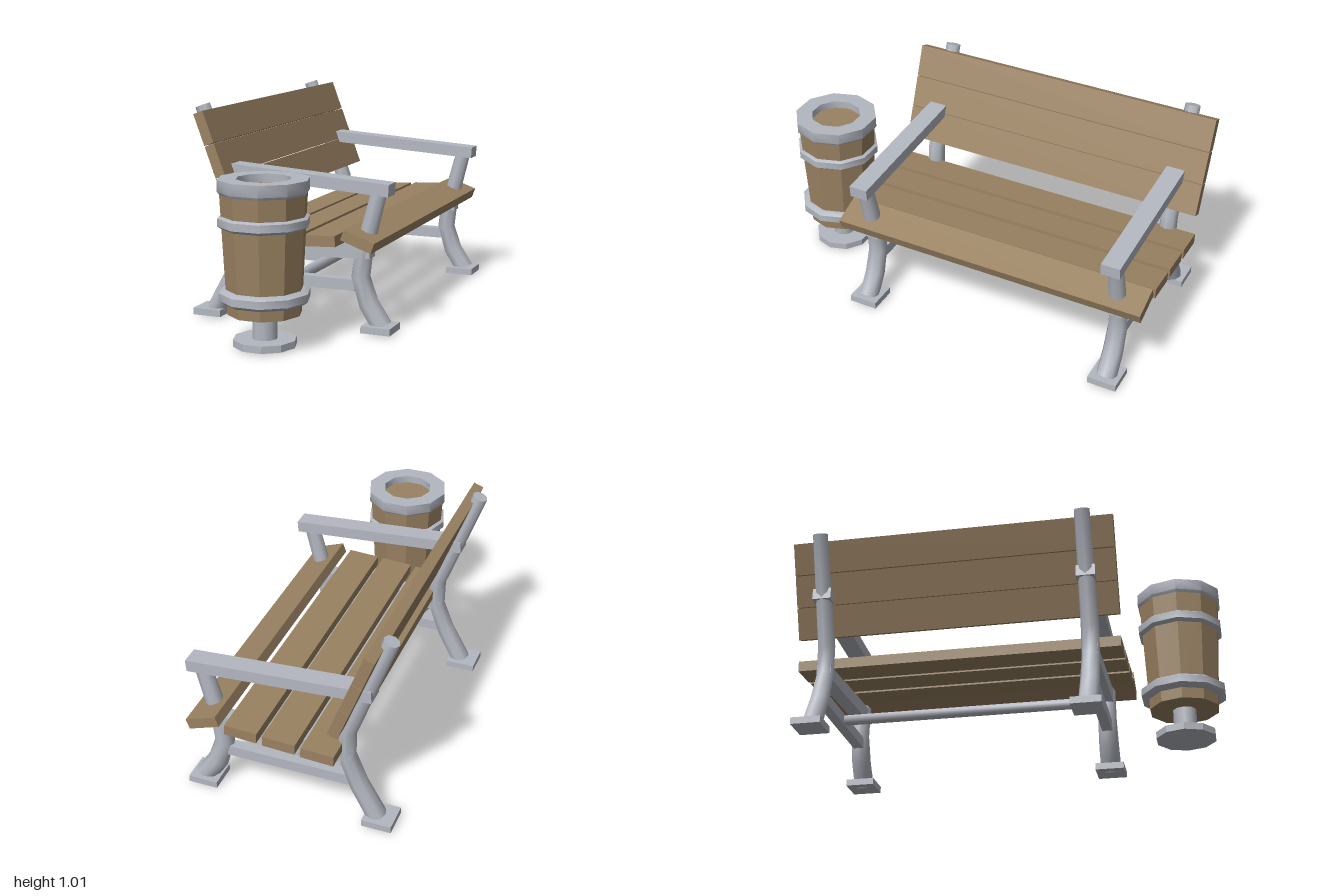
import * as THREE from 'three';
import { toCreasedNormals } from 'three/addons/utils/BufferGeometryUtils.js';

const metal = new THREE.MeshStandardMaterial({ color: 0xb3b7c0 });
metal.name = 'grey metal';
const wood = new THREE.MeshStandardMaterial({ color: 0x9a8262 });
wood.name = 'brown wood';

function add(parent, name, geometry, material, x = 0, y = 0, z = 0, tilt = 0) {
  const mesh = new THREE.Mesh(geometry, material);
  mesh.name = name;
  mesh.position.set(x, y, z);
  mesh.rotation.z = tilt;
  parent.add(mesh);
  return mesh;
}

// Capped round bar along [x, y, radius] stations in the xy plane
function bentBar(stations, sides = 8) {
  const positions = [], index = [], n = stations.length;
  stations.forEach(([x, y, r], i) => {
    const a = stations[Math.max(i - 1, 0)], b = stations[Math.min(i + 1, n - 1)];
    const side = new THREE.Vector2(b[1] - a[1], a[0] - b[0]).normalize();
    for (let k = 0; k < sides; k++) {
      const t = (k / sides) * Math.PI * 2;
      const c = Math.cos(t) * r;
      positions.push(x + side.x * c, y + side.y * c, -Math.sin(t) * r);
    }
  });
  for (let i = 0; i < n - 1; i++) {
    for (let k = 0; k < sides; k++) {
      const a = i * sides + k, b = i * sides + (k + 1) % sides;
      index.push(a, b, b + sides, a, b + sides, a + sides);
    }
  }
  const top = (n - 1) * sides;
  for (let k = 1; k < sides - 1; k++) {
    index.push(0, k + 1, k, top, top + k, top + k + 1);
  }
  const g = new THREE.BufferGeometry();
  g.setAttribute('position', new THREE.Float32BufferAttribute(positions, 3));
  g.setIndex(index);
  return toCreasedNormals(g, 0.9);
}

// Ten-sided ring from an [r, y] profile, corners on the x axis
function ring(profile) {
  const points = profile.map(([r, y]) => new THREE.Vector2(r, y));
  return toCreasedNormals(new THREE.LatheGeometry(points, 10, Math.PI / 2), 0.85);
}

function drum(top, bottom, height, sides = 10) {
  return new THREE.CylinderGeometry(top, bottom, height, sides, 1, false, Math.PI / 2);
}

// One end frame: two bent legs, feet, armrest and rails
function makeFrame(z) {
  const frame = new THREE.Group();
  frame.name = 'endFrame';
  frame.position.z = z;
  add(frame, 'backLeg', bentBar([
    [-0.405, 0.02, 0.048], [-0.32, 0.18, 0.045], [-0.264, 0.33, 0.043],
    [-0.268, 0.48, 0.043], [-0.462, 0.989, 0.037],
  ]), metal);
  add(frame, 'frontLeg', bentBar([
    [0.435, 0.02, 0.05], [0.37, 0.12, 0.049], [0.33, 0.245, 0.046],
    [0.346, 0.37, 0.043], [0.416, 0.64, 0.038],
  ]), metal);
  for (const x of [-0.423, 0.425]) {
    add(frame, 'foot', new THREE.BoxGeometry(0.14, 0.032, 0.14), metal, x, 0.016);
  }
  add(frame, 'armrest', new THREE.BoxGeometry(0.866, 0.056, 0.09), metal, 0.043, 0.68, 0, -0.064);
  add(frame, 'seatRail', new THREE.BoxGeometry(0.67, 0.068, 0.07), metal, 0.048, 0.357, 0, 0.04);
  add(frame, 'lowerRail', new THREE.BoxGeometry(0.6, 0.052, 0.05), metal, 0.01, 0.206);
  return frame;
}

function makeBench() {
  const bench = new THREE.Group();
  bench.name = 'bench';
  bench.add(makeFrame(0.41), makeFrame(-0.86));

  const stretcher = add(bench, 'stretcher', toCreasedNormals(
    new THREE.CylinderGeometry(0.027, 0.027, 1.27, 8), 0.9), metal, 0, 0.206, -0.225);
  stretcher.rotation.x = Math.PI / 2;

  // Slats: name, x, y, tilt
  const slats = [
    ['seatSlat', -0.177, 0.4, 0.05],
    ['seatSlat', 0.003, 0.412, 0.05],
    ['seatSlat', 0.183, 0.423, 0.05],
    ['frontSlat', 0.365, 0.434, -0.34],
    ['backSlat', -0.387, 0.9, -1.21],
    ['backSlat', -0.331, 0.753, -1.21],
    ['backSlat', -0.275, 0.607, -1.21],
  ];
  const plank = new THREE.BoxGeometry(0.153, 0.05, 1.55);
  for (const [name, x, y, tilt] of slats) add(bench, name, plank, wood, x, y, -0.225, tilt);
  return bench;
}

function makeBin() {
  const bin = new THREE.Group();
  bin.name = 'litterBin';
  bin.position.set(0.037, 0, 0.807);
  add(bin, 'binBase', drum(0.142, 0.142, 0.032).toNonIndexed(), metal, 0, 0.016)
    .geometry.computeVertexNormals();
  add(bin, 'binPost', drum(0.056, 0.056, 0.13), metal, 0, 0.09);

  const body = drum(0.195, 0.165, 0.555).toNonIndexed();
  body.computeVertexNormals();
  add(bin, 'binBody', body, wood, 0, 0.4225);

  // Rounded bands around the body
  for (const y of [0.226, 0.552]) {
    add(bin, 'binBand', ring([
      [0.15, -0.031], [0.182, -0.031], [0.203, -0.016],
      [0.203, 0.018], [0.182, 0.031], [0.15, 0.031],
    ]), metal, 0, y);
  }

  // Open rim with a recessed wooden floor inside
  add(bin, 'binRim', ring([
    [0.16, 0.66], [0.182, 0.66], [0.203, 0.685],
    [0.203, 0.737], [0.122, 0.737], [0.122, 0.69],
  ]), metal);
  return bin;
}

export function createModel() {
  const model = new THREE.Group();
  model.name = 'benchWithBin';
  model.add(makeBench(), makeBin());
  return model;
}
